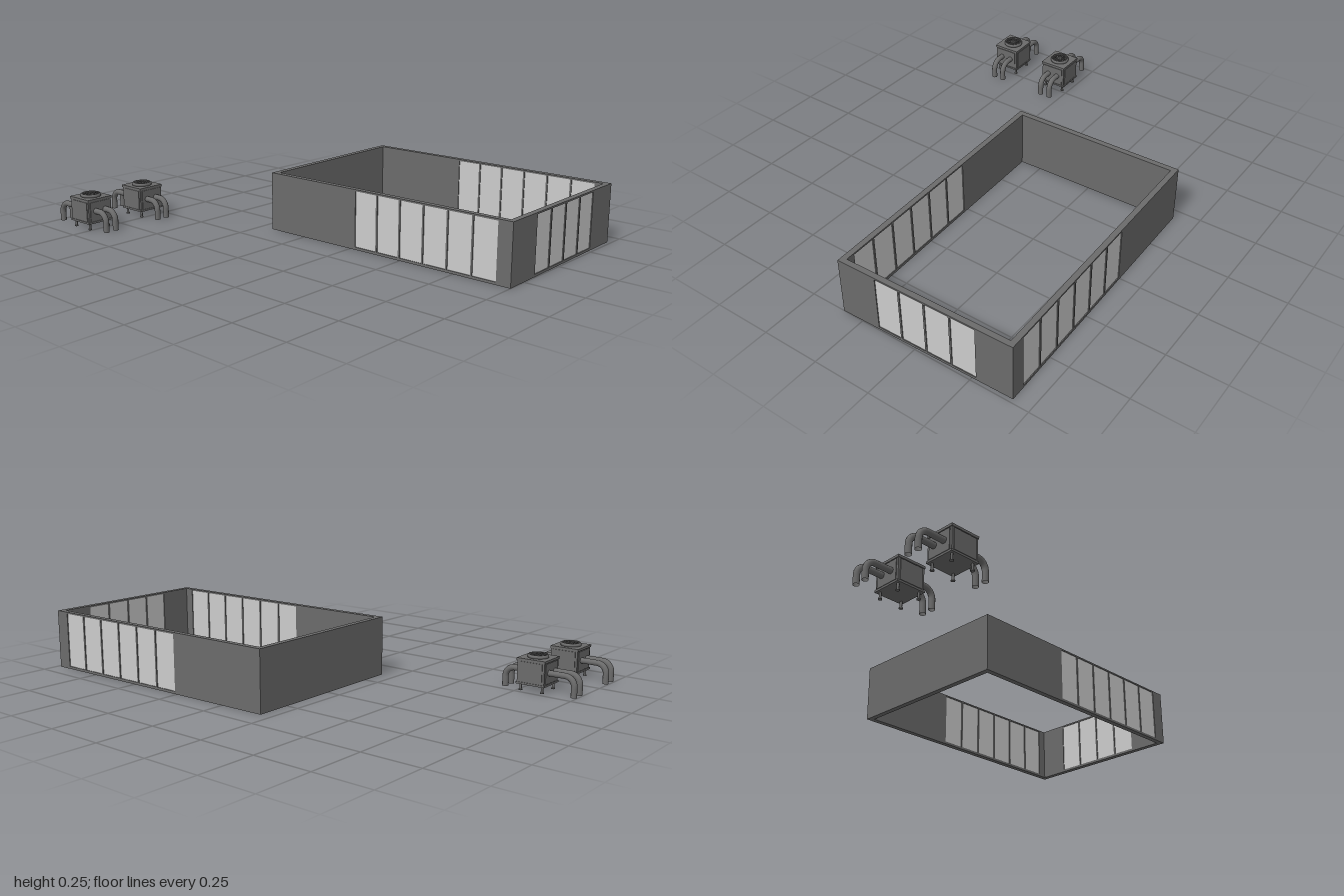
import * as THREE from 'three';

const grey = new THREE.MeshStandardMaterial({ color: 0xcccccc });
const dark = new THREE.MeshStandardMaterial({ color: 0x6b6b6b });
const darkOpen = new THREE.MeshStandardMaterial({ color: 0x6b6b6b, side: THREE.DoubleSide });

const TURN = 0.0212; // slight yaw shared by everything
const W = 1.184, D = 0.768, H = 0.251, T = 0.024;
const PANE = 0.104, PITCH = 0.1117, SILL = 0.011, HEAD = 0.244;

function add(parent, name, geometry, material, x = 0, y = 0, z = 0) {
  const mesh = new THREE.Mesh(geometry, material);
  mesh.name = name;
  mesh.position.set(x, y, z);
  parent.add(mesh);
  return mesh;
}

// Wall slab along x with a row of window openings, each filled by a pane
function makeWall(name, length, count = 0, start = 0, pitch = PITCH) {
  const wall = new THREE.Group();
  wall.name = name;
  const shape = new THREE.Shape();
  shape.moveTo(-length / 2, 0).lineTo(length / 2, 0).lineTo(length / 2, H).lineTo(-length / 2, H).closePath();
  for (let i = 0; i < count; i++) {
    const a = start + i * pitch, b = a + PANE;
    const hole = new THREE.Path();
    hole.moveTo(a, SILL).lineTo(a, HEAD).lineTo(b, HEAD).lineTo(b, SILL).closePath();
    shape.holes.push(hole);
    add(wall, 'windowPane', new THREE.BoxGeometry(PANE, HEAD - SILL, T * 0.7), grey, (a + b) / 2, (SILL + HEAD) / 2, 0);
  }
  const slab = new THREE.ExtrudeGeometry(shape, { depth: T, bevelEnabled: false });
  slab.translate(0, 0, -T / 2);
  add(wall, 'wallSlab', slab, dark);
  return wall;
}

function makeBuilding() {
  const building = new THREE.Group();
  building.name = 'building';
  const front = makeWall('frontWall', W, 6, -0.133);
  front.position.z = D / 2 - T / 2;
  const back = makeWall('backWall', W, 6, -0.133);
  back.position.z = -D / 2 + T / 2;
  const glazedEnd = makeWall('glazedEndWall', D - 2 * T, 4, -0.212, 0.1117);
  glazedEnd.position.x = W / 2 - T / 2;
  glazedEnd.rotation.y = Math.PI / 2;
  const plainEnd = makeWall('plainEndWall', D - 2 * T);
  plainEnd.position.x = -W / 2 + T / 2;
  plainEnd.rotation.y = Math.PI / 2;
  building.add(front, back, glazedEnd, plainEnd);
  return building;
}

// Duct leaving the cabinet sideways and bending down to the ground
function ductGeometry(reach) {
  const y = 0.082, bend = 0.04, s = Math.sign(reach);
  const v = (x, h) => new THREE.Vector3(x, h, 0);
  const path = new THREE.CurvePath();
  path.add(new THREE.LineCurve3(v(s * 0.055, y), v(reach - s * bend, y)));
  path.add(new THREE.CubicBezierCurve3(
    v(reach - s * bend, y), v(reach - s * bend * 0.45, y),
    v(reach, y - bend * 0.45), v(reach, y - bend)));
  path.add(new THREE.LineCurve3(v(reach, y - bend), v(reach, 0)));
  return new THREE.TubeGeometry(path, 24, 0.0125, 12, false);
}

function makeUnit() {
  const unit = new THREE.Group();
  unit.name = 'ventilationUnit';

  // Cabinet with base, lid and side panels
  add(unit, 'cabinet', new THREE.BoxGeometry(0.12, 0.1, 0.12), dark, 0, 0.081, 0);
  add(unit, 'base', new THREE.BoxGeometry(0.126, 0.008, 0.126), dark, 0, 0.032, 0);
  add(unit, 'lid', new THREE.BoxGeometry(0.126, 0.01, 0.126), dark, 0, 0.13, 0);
  for (const s of [-1, 1]) {
    add(unit, 'sidePanel', new THREE.BoxGeometry(0.004, 0.084, 0.102), dark, s * 0.061, 0.08, 0);
    add(unit, 'facePanel', new THREE.BoxGeometry(0.102, 0.084, 0.004), dark, 0, 0.08, s * 0.061);
  }

  // Corner feet
  for (const x of [-0.048, 0.048]) {
    for (const z of [-0.048, 0.048]) {
      add(unit, 'foot', new THREE.CylinderGeometry(0.005, 0.005, 0.03, 10), dark, x, 0.015, z);
      add(unit, 'footPad', new THREE.CylinderGeometry(0.008, 0.008, 0.004, 10), dark, x, 0.002, z);
    }
  }

  // Round fan outlet with a crossed grille
  const rim = [[0.036, 0], [0.043, 0], [0.043, 0.007], [0.039, 0.013], [0.036, 0.013], [0.036, 0]]
    .map(([r, y]) => new THREE.Vector2(r, y));
  add(unit, 'fanRim', new THREE.LatheGeometry(rim, 24), darkOpen, 0, 0.135, 0);
  add(unit, 'fanHub', new THREE.CylinderGeometry(0.012, 0.012, 0.01, 16), dark, 0, 0.14, 0);
  for (let i = -3; i <= 3; i++) {
    const o = i * 0.01, chord = 2 * Math.sqrt(0.037 ** 2 - o ** 2);
    add(unit, 'grilleBar', new THREE.BoxGeometry(chord, 0.002, 0.002), dark, 0, 0.146, o);
    add(unit, 'grilleBar', new THREE.BoxGeometry(0.002, 0.002, chord), dark, o, 0.146, 0);
  }

  // Two ducts on each side
  for (const reach of [-0.174, 0.131]) {
    const geometry = ductGeometry(reach);
    for (const z of [-0.0245, 0.0245]) add(unit, 'duct', geometry, darkOpen, 0, 0, z);
  }
  return unit;
}

export function createModel() {
  const model = new THREE.Group();
  model.name = 'buildingWithVentilation';

  const building = makeBuilding();
  building.position.set(0.4, 0, -0.278);
  building.rotation.y = TURN;
  model.add(building);

  for (const z of [0.327, 0.607]) {
    const unit = makeUnit();
    unit.position.set(-0.81, 0, z);
    unit.rotation.y = TURN;
    model.add(unit);
  }
  return model;
}
